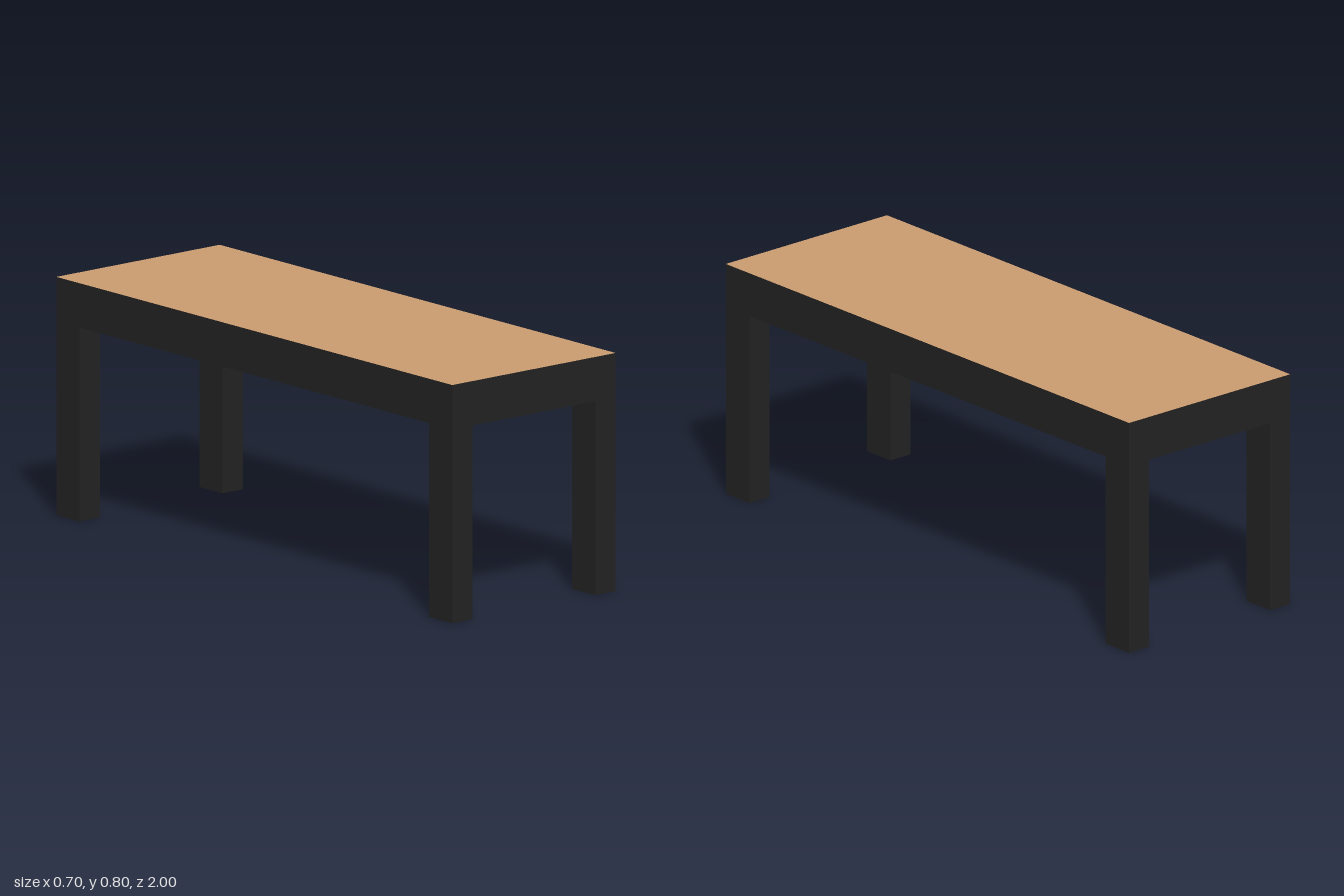
import * as THREE from 'three';

const WIDTH = 0.7, LENGTH = 2, HEIGHT = 0.8;
const SLAB = 0.149;                 // thickness of the table top
const LEG_X = 0.087, LEG_Z = 0.117; // leg cross-section

export function createModel() {
  const black = new THREE.MeshStandardMaterial({ name: 'black', color: 0x222222 });
  const wood = new THREE.MeshStandardMaterial({ name: 'wood', color: 0xc99b70 });
  const model = new THREE.Group();
  model.name = 'table';

  // Solid slab: wooden upper face, black edges and underside
  const top = new THREE.Mesh(
    new THREE.BoxGeometry(WIDTH, SLAB, LENGTH),
    [black, black, wood, black, black, black]
  );
  top.name = 'tableTop';
  top.position.y = HEIGHT - SLAB / 2;
  model.add(top);

  // Four legs flush with the corners
  const legHeight = HEIGHT - SLAB;
  const legGeometry = new THREE.BoxGeometry(LEG_X, legHeight, LEG_Z);
  for (const [sx, side] of [[1, 'Left'], [-1, 'Right']]) {
    for (const [sz, end] of [[1, 'front'], [-1, 'back']]) {
      const leg = new THREE.Mesh(legGeometry, black);
      leg.name = `${end}${side}Leg`;
      leg.position.set(sx * (WIDTH - LEG_X) / 2, legHeight / 2, sz * (LENGTH - LEG_Z) / 2);
      model.add(leg);
    }
  }
  return model;
}
